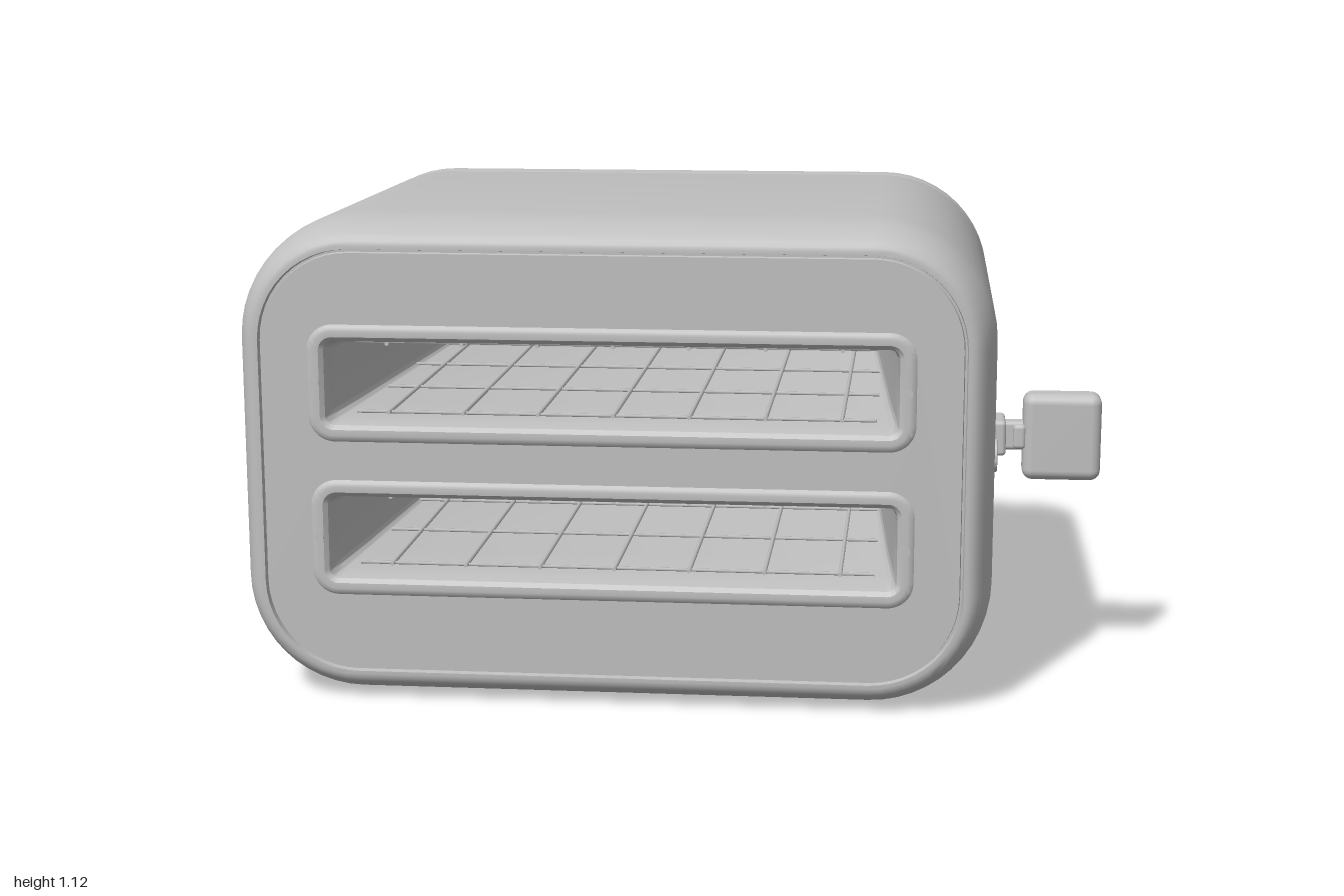
import * as THREE from 'three';
import { toCreasedNormals } from 'three/addons/utils/BufferGeometryUtils.js';
import { RoundedBoxGeometry } from 'three/addons/geometries/RoundedBoxGeometry.js';

const CX = -0.13, CY = 0.56;      // centre of the body
const W = 1.74, H = 1.12, R = 0.28; // body size and corner radius

// Counter-clockwise outline of a rounded rectangle centred on the origin
function outline(w, h, r, n = 12) {
  const pts = [];
  const corners = [[1, -1], [1, 1], [-1, 1], [-1, -1]];
  corners.forEach(([sx, sy], k) => {
    for (let i = 0; i <= n; i++) {
      const a = (k - 1 + i / n) * Math.PI / 2;
      pts.push(new THREE.Vector2(sx * (w / 2 - r) + r * Math.cos(a), sy * (h / 2 - r) + r * Math.sin(a)));
    }
  });
  return pts;
}

// Surface through rounded rectangles; each station is [z, inset, insetY]
function loft(w, h, r, stations) {
  const pos = [], index = [];
  let m = 0;
  for (const [z, ix, iy = ix] of stations) {
    const ring = outline(w - 2 * ix, h - 2 * iy, Math.max(0.02, r - Math.min(ix, iy)));
    m = ring.length;
    ring.forEach(p => pos.push(p.x, p.y, z));
  }
  for (let i = 0; i < stations.length - 1; i++) {
    for (let j = 0; j < m; j++) {
      const a = i * m + j, b = i * m + (j + 1) % m;
      index.push(a, b, b + m, a, b + m, a + m);
    }
  }
  const g = new THREE.BufferGeometry();
  g.setAttribute('position', new THREE.Float32BufferAttribute(pos, 3));
  g.setIndex(index);
  return toCreasedNormals(g, 0.6);
}

const movedPath = (pts, x, y) => new THREE.Path(pts.map(p => new THREE.Vector2(p.x + x, p.y + y)));

export function createModel() {
  const group = new THREE.Group();
  const grey = new THREE.MeshStandardMaterial({ color: 0xc0c0c0, side: THREE.DoubleSide });
  grey.name = 'light grey';

  function add(name, geometry, x = 0, y = 0, z = 0, parent = group) {
    const mesh = new THREE.Mesh(geometry, grey);
    mesh.name = name;
    mesh.position.set(x, y, z);
    parent.add(mesh);
    return mesh;
  }

  // Outer shell, with an elliptical edge at the front and a groove round the panel
  const shell = [[-0.53, 0.014], [-0.52, 0.002], [-0.51, 0]];
  for (let i = 0; i <= 10; i++) {
    const a = i / 10 * Math.PI / 2;
    shell.push([0.48 + 0.18 * Math.sin(a), 0.06 * (1 - Math.cos(a))]);
  }
  shell.push([0.66, 0.068], [0.645, 0.07], [0.645, 0.075], [0.654, 0.077]);
  add('shell', loft(W, H, R, shell), CX, CY);

  // Base band and flat base
  add('baseBand', loft(W, H, R, [
    [-0.635, 0.03], [-0.63, 0.014], [-0.615, 0.003], [-0.6, 0], [-0.545, 0.006], [-0.53, 0.014],
  ]), CX, CY);
  const base = new THREE.ShapeGeometry(new THREE.Shape(outline(W - 0.06, H - 0.06, R - 0.03)));
  add('base', base.rotateY(Math.PI), CX, CY, -0.635);

  // Front panel with two openings
  const slotW = 1.38, slotH = 0.27, slotR = 0.06;
  const slotYs = [0.185, -0.175];
  const panel = new THREE.Shape(outline(W - 0.154, H - 0.154, R - 0.077));
  for (const y of slotYs) panel.holes.push(movedPath(outline(slotW, slotH, slotR), 0, y));
  add('frontPanel', new THREE.ShapeGeometry(panel), CX, CY, 0.654);

  // Bread slots
  const floorZ = -0.42;
  for (const y of slotYs) {
    const slot = new THREE.Group();
    slot.name = 'breadSlot';
    slot.position.set(CX, CY + y, 0);
    group.add(slot);

    // Rim running on into the walls of the cavity
    add('slotRim', loft(slotW, slotH, slotR, [
      [0.654, 0], [0.66, 0.006], [0.662, 0.015], [0.661, 0.028], [0.652, 0.038],
      [0.63, 0.042], [0.58, 0.046], [0.4, 0.06, 0.046], [floorZ, 0.11, 0.046],
    ]), 0, 0, 0, slot);

    // Slotted floor
    const floor = new THREE.Shape(outline(slotW - 0.22, slotH - 0.092, 0.02));
    for (let i = -6; i <= 6; i++) {
      floor.holes.push(movedPath(outline(0.03, 0.13, 0.0149, 5), i * 0.087, 0));
    }
    add('slotFloor', new THREE.ShapeGeometry(floor), 0, 0, floorZ, slot);

    // Wire guards on both long walls
    for (const side of [-1, 1]) {
      for (let i = -3; i <= 3; i++) {
        const wire = add('guardWire', new THREE.CylinderGeometry(0.005, 0.005, 1, 6), i * 0.174, side * 0.08, 0.08, slot);
        wire.rotation.x = Math.PI / 2;
      }
      for (const z of [0.56, 0.24, -0.08]) {
        const rail = add('guardRail', new THREE.CylinderGeometry(0.004, 0.004, 1.2, 6), 0, side * 0.082, z, slot);
        rail.rotation.z = Math.PI / 2;
      }
      // Small pin at each end of the rim
      const pin = add('rimPin', new THREE.CylinderGeometry(0.01, 0.01, 0.008, 12), side * 0.672, 0, 0.66, slot);
      pin.rotation.x = Math.PI / 2;
    }
  }

  // Lever track on the left side: a raised stadium frame
  const track = new THREE.Shape(outline(0.845, 0.07, 0.0349, 10));
  track.holes.push(movedPath(outline(0.81, 0.038, 0.0189, 10), 0, 0));
  const trackGeo = new THREE.ExtrudeGeometry(track, {
    depth: 0.006, bevelThickness: 0.003, bevelSize: 0.002, bevelSegments: 2,
  });
  add('leverTrack', toCreasedNormals(trackGeo, 0.6).rotateY(Math.PI / 2), 0.737, 0.565, 0.068);

  // Lever: carriage, stem and knob
  const lever = new THREE.Group();
  lever.name = 'lever';
  lever.position.set(0, 0.565, 0.202);
  group.add(lever);
  add('leverCarriage', new RoundedBoxGeometry(0.04, 0.085, 0.12, 3, 0.01), 0.753, 0, 0, lever);
  add('leverStem', new RoundedBoxGeometry(0.1, 0.07, 0.045, 3, 0.01), 0.785, 0, 0, lever);
  add('leverCollar', new RoundedBoxGeometry(0.03, 0.06, 0.075, 3, 0.01), 0.806, 0, 0, lever);
  add('leverKnob', new RoundedBoxGeometry(0.186, 0.21, 0.085, 4, 0.025), 0.907, 0, 0, lever);

  // Four round feet on the base
  const foot = new THREE.LatheGeometry([
    [0, 0.032], [0.058, 0.032], [0.064, 0.03], [0.068, 0.024], [0.068, 0],
  ].reverse().map(p => new THREE.Vector2(...p)), 28);
  foot.rotateX(-Math.PI / 2);
  for (const sx of [-1, 1]) {
    for (const sy of [-1, 1]) add('foot', foot, CX + sx * 0.715, CY + 0.003 + sy * 0.417, -0.633);
  }

  return group;
}
